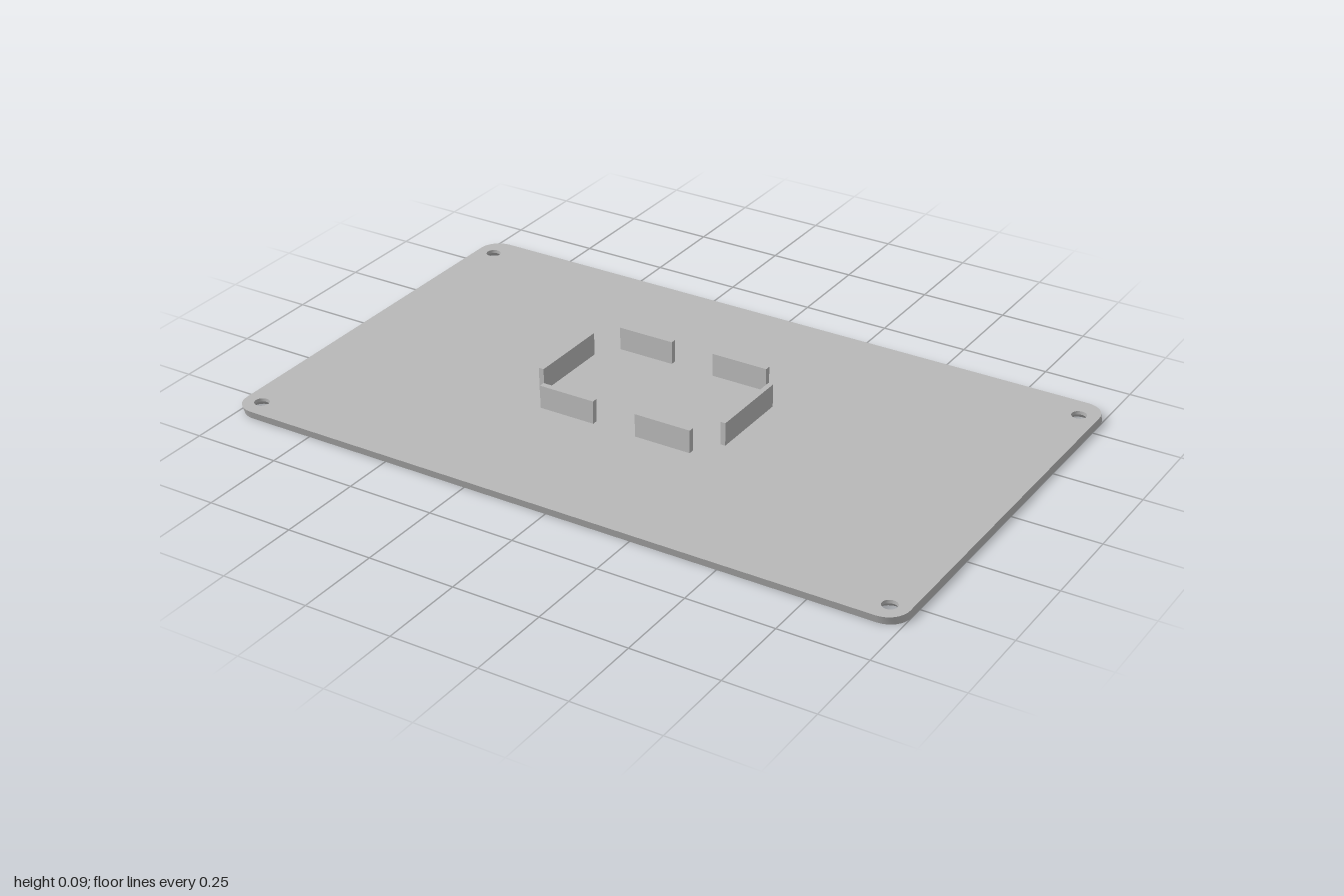
import * as THREE from 'three';

const THICK = 0.025, HALF_X = 1, HALF_Z = 0.607, CORNER = 0.06, LEAN = 0.0045;

// Rounded outline of the plate in x/z, shifted along z
function outline(shift) {
  const points = [];
  for (let q = 0; q < 4; q++) {
    const cx = (q === 0 || q === 3 ? 1 : -1) * (HALF_X - CORNER);
    const cz = (q < 2 ? 1 : -1) * (HALF_Z - CORNER) + shift;
    for (let i = 0; i <= 8; i++) {
      const a = (q + i / 8) * Math.PI / 2;
      points.push(new THREE.Vector2(cx + CORNER * Math.cos(a), cz + CORNER * Math.sin(a)));
    }
  }
  return points;
}

function circle([x, z], radius, segments = 32) {
  return Array.from({ length: segments }, (_, i) => {
    const a = i / segments * Math.PI * 2;
    return new THREE.Vector2(x + radius * Math.cos(a), z + radius * Math.sin(a));
  });
}

// Horizontal face with holes, facing up or down
function face(loop, holes, y, up) {
  const shape = new THREE.Shape(loop);
  shape.holes = holes.map(h => new THREE.Path(h));
  const geometry = new THREE.ShapeGeometry(shape).rotateX(Math.PI / 2).translate(0, y, 0);
  if (up) {
    geometry.setIndex(Array.from(geometry.index.array).reverse());
    geometry.computeVertexNormals();
  }
  return geometry;
}

// Side surface between a lower and an upper loop
function band(lower, y0, upper, y1, inward) {
  const n = lower.length, positions = [], index = [];
  lower.forEach(p => positions.push(p.x, y0, p.y));
  upper.forEach(p => positions.push(p.x, y1, p.y));
  for (let i = 0; i < n; i++) {
    const j = (i + 1) % n;
    if (inward) index.push(i, j, n + j, i, n + j, n + i);
    else index.push(i, n + j, j, i, n + i, n + j);
  }
  const geometry = new THREE.BufferGeometry();
  geometry.setAttribute('position', new THREE.Float32BufferAttribute(positions, 3));
  geometry.setIndex(index);
  geometry.computeVertexNormals();
  return geometry;
}

export function createModel() {
  const model = new THREE.Group();
  const grey = new THREE.MeshStandardMaterial({ color: 0xb8b8b8 });
  grey.name = 'grey';
  const add = (name, geometry, parent = model) => {
    const mesh = new THREE.Mesh(geometry, grey);
    mesh.name = name;
    parent.add(mesh);
    return mesh;
  };

  const plate = new THREE.Group();
  plate.name = 'basePlate';
  model.add(plate);

  const screws = [], feet = [];
  for (const s of [-1, 1]) {
    for (const z of [-0.53, 0.553]) screws.push([s * 0.947, z]);
    for (const z of [-0.455, 0.425]) feet.push([s * 0.767, z]);
  }
  const narrow = screws.map(c => circle(c, 0.021));
  const wide = screws.map(c => circle(c, 0.036));
  const recesses = feet.map(c => circle(c, 0.06));

  // Plate faces and leaning rim
  const bottom = outline(-LEAN), top = outline(LEAN);
  add('plateTop', face(top, narrow, THICK, true), plate);
  add('plateBottom', face(bottom, [...wide, ...recesses], 0, false), plate);
  add('plateRim', band(bottom, 0, top, THICK, false), plate);

  // Screw holes, countersunk from below
  narrow.forEach((loop, i) => {
    add('countersink', band(wide[i], 0, loop, 0.015, true), plate);
    add('screwHole', band(loop, 0.015, loop, THICK, true), plate);
  });

  // Shallow round recesses for feet
  for (const loop of recesses) {
    add('footRecessWall', band(loop, 0, loop, 0.004, true), plate);
    add('footRecessFloor', face(loop, [], 0.004, false), plate);
  }

  // Upright walls framing a rectangular holder
  const holder = new THREE.Group();
  holder.name = 'holderWalls';
  holder.position.set(-0.061, 0, -0.019);
  model.add(holder);
  const height = 0.067;
  const wall = (name, w, d, x, z) =>
    add(name, new THREE.BoxGeometry(w, height, d), holder).position.set(x, THICK + height / 2, z);
  for (const s of [-1, 1]) {
    wall('sideWall', 0.015, 0.249, s * 0.284, 0);
    for (const t of [-1, 1]) wall(t > 0 ? 'frontWall' : 'backWall', 0.168, 0.017, s * 0.149, t * 0.198);
  }
  return model;
}
